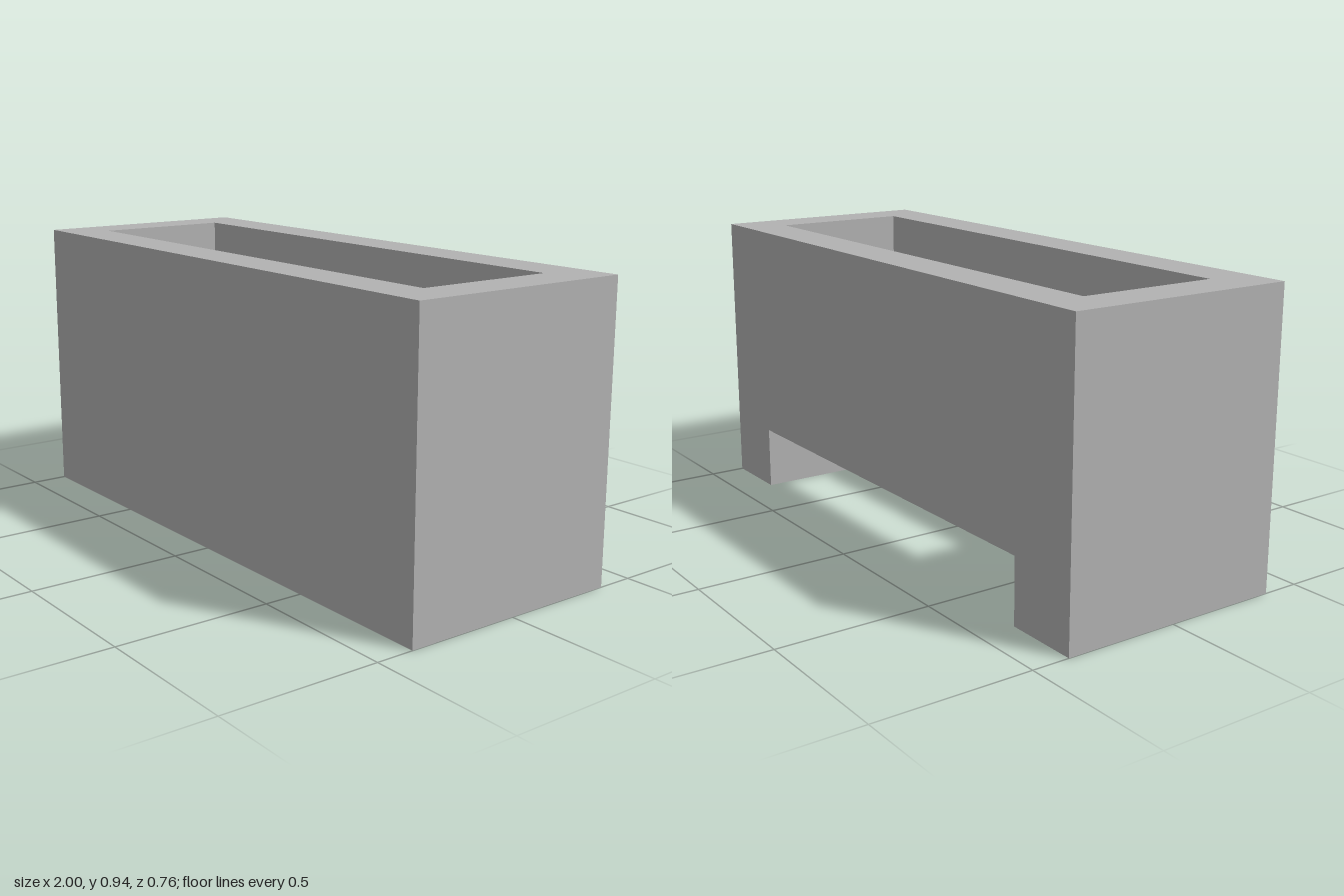
import * as THREE from 'three';
import { mergeGeometries } from 'three/addons/utils/BufferGeometryUtils.js';

// half sizes and heights
const W = 1, D = 0.378, H = 0.945;      // outer block
const CW = 0.853, CD = 0.232;           // upper cavity
const NW = 0.755, NF = 0.112;           // rear notch: half width, front edge in z
const LEDGE = 0.13, NOTCH = 0.213;      // ledge height, notch height at the back

const shapeOf = (pts) => new THREE.Shape(pts.map(([x, y]) => new THREE.Vector2(x, y)));

// rectangle with a notch cut into its lower edge
const notched = (w, bottom, top, n, notchTop) => shapeOf([
  [-w, bottom], [-n, bottom], [-n, notchTop], [n, notchTop],
  [n, bottom], [w, bottom], [w, top], [-w, top],
]);

const rect = (w, a, b) => [[-w, a], [w, a], [w, b], [-w, b]];

// horizontal face; shape y is z when facing down, -z when facing up
function flat(shape, y, up) {
  return new THREE.ShapeGeometry(shape).rotateX(up ? -Math.PI / 2 : Math.PI / 2).translate(0, y, 0);
}

// vertical faces along a path of [x, z] points
function walls(path, y0, y1) {
  return mergeGeometries(path.slice(1).map(([bx, bz], i) => {
    const [ax, az] = path[i];
    return new THREE.PlaneGeometry(Math.hypot(bx - ax, bz - az), y1 - y0)
      .rotateY(Math.atan2(az - bz, bx - ax))
      .translate((ax + bx) / 2, (y0 + y1) / 2, (az + bz) / 2);
  }));
}

export function createModel() {
  const group = new THREE.Group();
  const grey = new THREE.MeshStandardMaterial({ color: 0xb2b2b2 });
  grey.name = 'grey';
  const add = (name, parts) => {
    const mesh = new THREE.Mesh(mergeGeometries(parts), grey);
    mesh.name = name;
    group.add(mesh);
  };

  // outer walls, with the notch open at the back
  add('outerWalls', [
    walls([[-W, -D], [-W, D], [W, D], [W, -D]], 0, H),
    new THREE.ShapeGeometry(notched(W, 0, H, NW, NOTCH)).rotateY(Math.PI).translate(0, 0, -D),
  ]);

  // rim around the top opening
  const rim = shapeOf(rect(W, -D, D));
  rim.holes.push(shapeOf(rect(CW, -CD, CD)));
  add('topRim', [flat(rim, H, true)]);

  // cavity walls
  add('cavityWalls', [
    walls([[CW, -CD], [CW, CD], [-CW, CD], [-CW, -CD]], LEDGE, H),
    new THREE.ShapeGeometry(notched(CW, LEDGE, H, NW, NOTCH)).translate(0, 0, -CD),
  ]);

  // U-shaped ledge inside the cavity (shape y = -z, turned to face up)
  const ledge = shapeOf([[-CW, -CD], [CW, -CD], [CW, CD], [NW, CD],
    [NW, -NF], [-NW, -NF], [-NW, CD], [-CW, CD]]);
  add('ledge', [flat(ledge, LEDGE, true)]);

  // notch walls and the underside of the back wall above it
  add('notch', [
    walls([[NW, -D], [NW, -CD]], 0, NOTCH),
    walls([[NW, -CD], [NW, NF], [-NW, NF], [-NW, -CD]], 0, LEDGE),
    walls([[-NW, -CD], [-NW, -D]], 0, NOTCH),
    flat(shapeOf(rect(NW, -D, -CD)), NOTCH, false),
  ]);

  // U-shaped base
  add('base', [flat(notched(W, -D, D, NW, NF), 0, false)]);
  return group;
}
